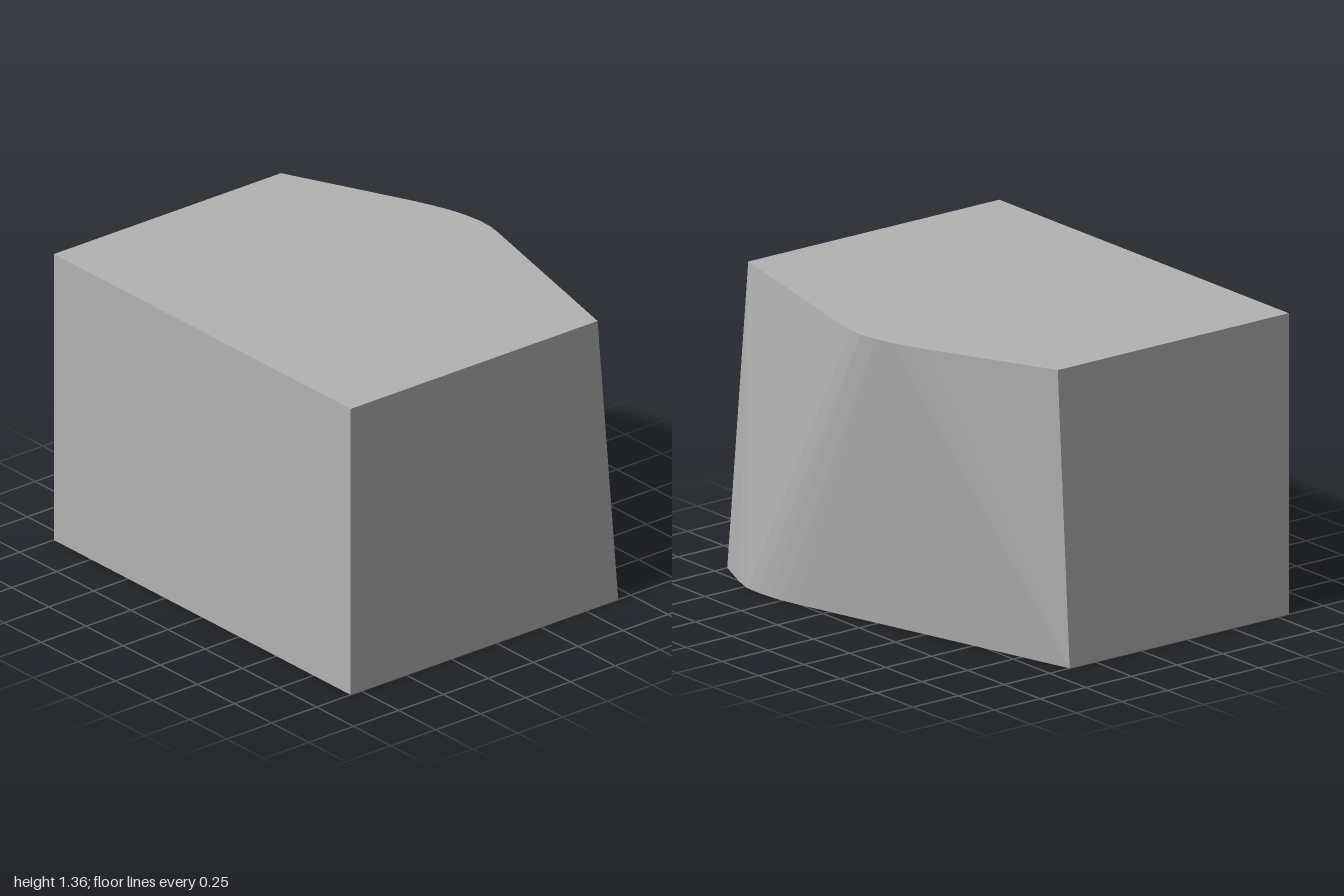
import * as THREE from 'three';
import { ConvexGeometry } from 'three/addons/geometries/ConvexGeometry.js';

export function createModel() {
  const group = new THREE.Group();
  group.name = 'block';
  const grey = new THREE.MeshStandardMaterial({ color: 0xb3b3b3 });
  grey.name = 'plain grey';

  const height = 1.36;
  const front = 0.81;

  // Back outlines as [x, z], from -x to +x; the bend shifts sideways with height
  const topBack = [
    [-1, -0.455], [-0.6, -0.638], [-0.42, -0.72], [-0.34, -0.752], [-0.26, -0.78],
    [-0.18, -0.8], [-0.09, -0.812], [-0.02, -0.81], [0.05, -0.797], [1, -0.565],
  ];
  const bottomBack = [
    [-1, -0.39], [0.42, -0.757], [0.5, -0.775], [0.57, -0.784], [0.65, -0.789],
    [0.73, -0.786], [0.82, -0.757], [1, -0.68],
  ];

  const outline = (back, y) =>
    [...back, [1, front], [-1, front]].map(([x, z]) => new THREE.Vector3(x, y, z));

  // The solid is the hull of both outlines, which makes the twisted back wall
  const body = new THREE.Mesh(
    new ConvexGeometry([...outline(bottomBack, 0), ...outline(topBack, height)]),
    grey
  );
  body.name = 'solidBody';
  group.add(body);
  return group;
}
